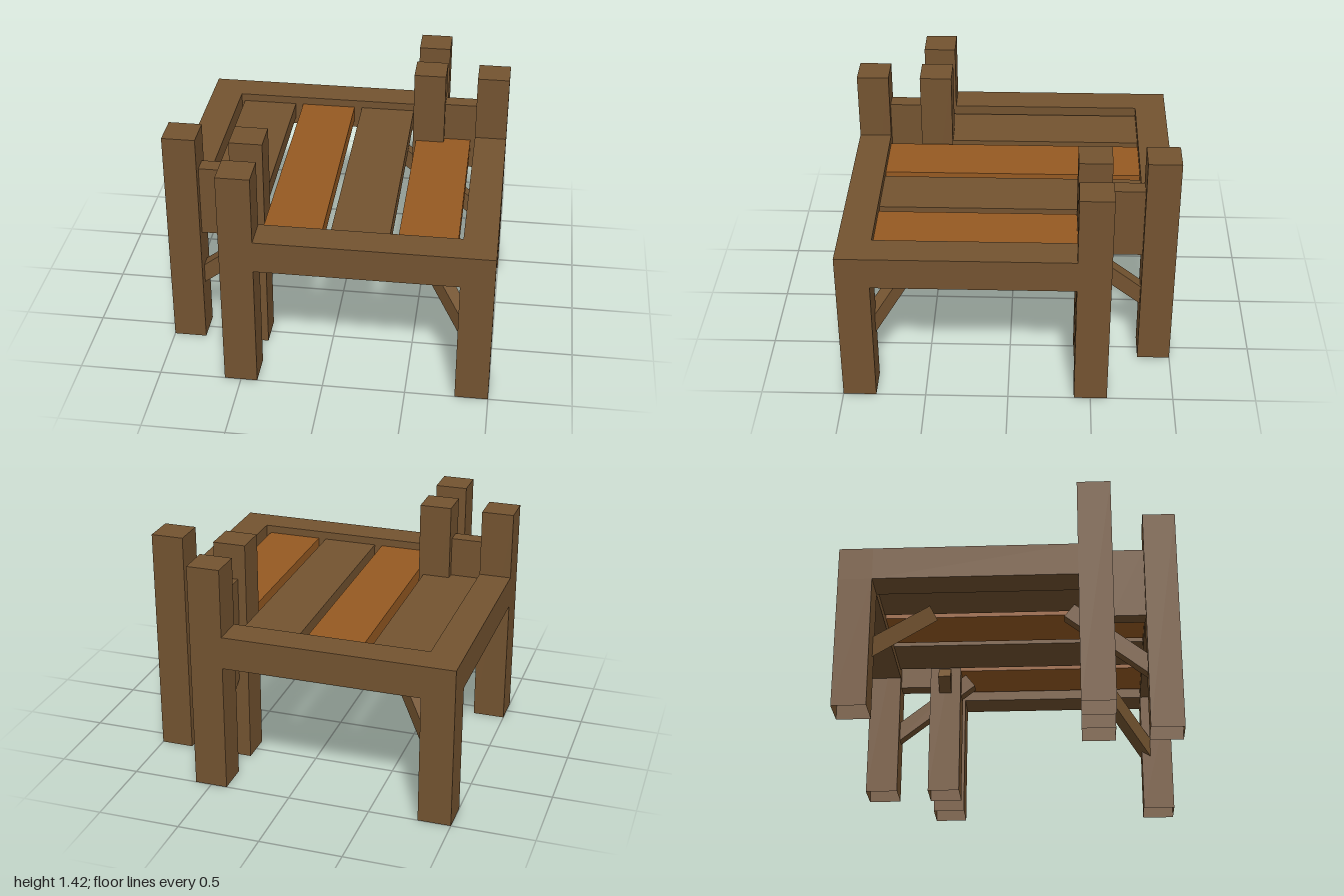
import * as THREE from 'three';

export function createModel() {
  const model = new THREE.Group();
  model.name = 'timberPlatform';

  const darkWood = new THREE.MeshStandardMaterial({ color: 0x735330, side: THREE.DoubleSide });
  darkWood.name = 'dark wood';
  const orangeWood = new THREE.MeshStandardMaterial({ color: 0x965a22, side: THREE.DoubleSide });
  orangeWood.name = 'orange wood';

  // Box given by its minimum and maximum corners
  function box(name, [x0, y0, z0], [x1, y1, z1], material = darkWood, openBottom = false) {
    const geo = new THREE.BoxGeometry(x1 - x0, y1 - y0, z1 - z0);
    if (openBottom) {
      const index = Array.from(geo.index.array);
      index.splice(18, 6); // drop the downward face
      geo.setIndex(index);
      geo.clearGroups();
    }
    const mesh = new THREE.Mesh(geo, material);
    mesh.name = name;
    mesh.position.set((x0 + x1) / 2, (y0 + y1) / 2, (z0 + z1) / 2);
    model.add(mesh);
    return mesh;
  }

  // Square beam between two points, kept upright
  function brace(name, from, to) {
    const a = new THREE.Vector3(...from);
    const b = new THREE.Vector3(...to);
    const mesh = new THREE.Mesh(new THREE.BoxGeometry(0.08, 0.1, a.distanceTo(b)), darkWood);
    mesh.name = name;
    mesh.position.copy(a).add(b).multiplyScalar(0.5);
    mesh.lookAt(b);
    model.add(mesh);
  }

  const post = (name, x, z, h) =>
    box(name, [x - 0.1, 0, z - 0.1], [x + 0.1, h, z + 0.1], darkWood, true);

  // Parts that repeat with a half turn: s = 1 front left, s = -1 back right
  for (const s of [1, -1]) {
    const side = s > 0 ? 'front' : 'back';
    const flank = s > 0 ? 'left' : 'right';

    // Low corner post and three tall posts round the notch
    post(side + 'CornerPost', 0.9 * s, 0.9 * s, 0.8);
    post(side + 'NotchOuterPost', -0.9 * s, 0.5 * s, 1.42);
    post(side + 'NotchInnerPost', -0.5 * s, 0.5 * s, 1.42);
    post(side + 'NotchEndPost', -0.5 * s, 0.9 * s, 1.42);

    // Rim beams
    const span = (a, b) => [Math.min(a * s, b * s), Math.max(a * s, b * s)];
    const slab = (name, xs, ys, zs) => {
      const [x0, x1] = span(...xs), [z0, z1] = span(...zs);
      box(name, [x0, ys[0], z0], [x1, ys[1], z1]);
    };
    slab(side + 'Rim', [-0.4, 1], [0.8, 1], [0.8, 1]);
    slab(flank + 'Rim', [0.8, 1], [0.8, 1], [-0.4, 0.8]);

    // Thin panels between the tall posts
    slab(side + 'NotchPanelAcross', [-0.8, -0.6], [0.75, 1.2], [0.45, 0.55]);
    slab(side + 'NotchPanelAlong', [-0.55, -0.45], [0.75, 1.2], [0.6, 0.8]);

    // Sloping braces
    brace(side + 'CornerBrace', [0.88 * s, 0.37, 0.88 * s], [0.513 * s, 0.8, 0.513 * s]);
    brace(side + 'NotchBraceAcross', [-0.9 * s, 0.362, 0.5 * s], [-0.33 * s, 0.8, 0.5 * s]);
    brace(side + 'NotchBraceAlong', [-0.5 * s, 0.362, 0.9 * s], [-0.5 * s, 0.8, 0.34 * s]);
  }

  // Deck planks in alternating colours, set slightly below the rim
  const ends = [[-0.82, 0.46], [-0.82, 0.82], [-0.82, 0.82], [-0.46, 0.82]];
  ends.forEach(([z0, z1], i) => {
    const x = -0.78 + 0.4 * i;
    box('deckPlank' + (i + 1), [x, 0.85, z0], [x + 0.35, 0.95, z1], i % 2 ? orangeWood : darkWood);
  });

  return model;
}
